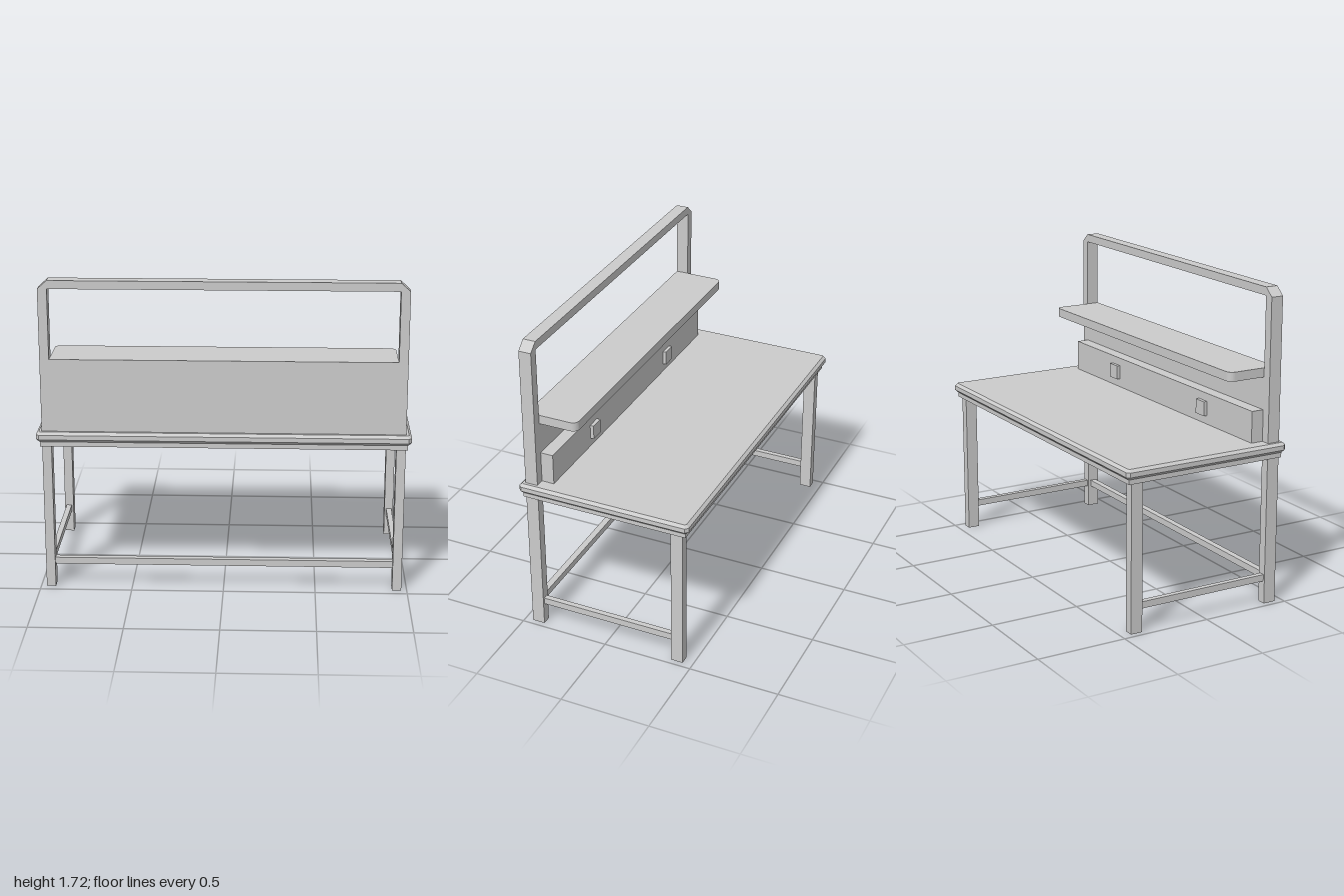
import * as THREE from 'three';

const mat = new THREE.MeshStandardMaterial({ color: 0xcccccc, flatShading: true });

export function createModel() {
  const group = new THREE.Group();

  const add = (name, geometry) => {
    const mesh = new THREE.Mesh(geometry, mat);
    mesh.name = name;
    group.add(mesh);
    return mesh;
  };

  // Box given by its extents on each axis
  const box = (name, [x0, x1], [y0, y1], [z0, z1]) => {
    const mesh = add(name, new THREE.BoxGeometry(x1 - x0, y1 - y0, z1 - z0));
    mesh.position.set((x0 + x1) / 2, (y0 + y1) / 2, (z0 + z1) / 2);
    return mesh;
  };
  const polygon = (points) => new THREE.Shape(points.map(([x, y]) => new THREE.Vector2(x, y)));

  // Table top: chamfered slab with clipped corners
  const bevel = 0.015, X = 0.985, Z = 0.47, c = 0.008;
  const topShape = polygon([
    [-X + c, -Z], [X - c, -Z], [X, -Z + c], [X, Z - c],
    [X - c, Z], [-X + c, Z], [-X, Z - c], [-X, -Z + c],
  ]);
  const top = new THREE.ExtrudeGeometry(topShape, {
    depth: 0.025, bevelEnabled: true, bevelSegments: 1, bevelSize: bevel, bevelThickness: bevel,
  });
  top.rotateX(-Math.PI / 2);
  add('tableTop', top).position.y = 0.853;

  // Slab under the top
  box('underSlab', [-0.98, 0.98], [0.81, 0.839], [-0.465, 0.465]);

  // Upright frame with solid lower panel, open window and clipped top corners
  const frame = polygon([
    [-0.97, 0.89], [0.97, 0.89], [0.97, 1.67], [0.92, 1.715], [-0.92, 1.715], [-0.97, 1.67],
  ]);
  frame.holes.push(polygon([[-0.92, 1.29], [-0.92, 1.67], [0.92, 1.67], [0.92, 1.29]]));
  add('backFrame', new THREE.ExtrudeGeometry(frame, { depth: 0.07, bevelEnabled: false }))
    .position.z = 0.385;

  // Shelf with rounded outer corners
  const r = 0.035, edge = 0.17, back = 0.385, half = 0.92;
  const shelf = new THREE.Shape();
  shelf.moveTo(-half, back);
  shelf.lineTo(-half, edge + r);
  shelf.absarc(-half + r, edge + r, r, Math.PI, Math.PI * 1.5, false);
  shelf.absarc(half - r, edge + r, r, Math.PI * 1.5, Math.PI * 2, false);
  shelf.lineTo(half, back);
  const shelfGeometry = new THREE.ExtrudeGeometry(shelf, { depth: 0.05, bevelEnabled: false, curveSegments: 8 });
  shelfGeometry.rotateX(Math.PI / 2);
  add('shelf', shelfGeometry).position.y = 1.29;

  // Service duct with two socket plates
  box('serviceDuct', [-0.92, 0.92], [0.89, 1.065], [0.315, 0.385]);

  for (const s of [-1, 1]) {
    const side = s < 0 ? 'right' : 'left';
    const span = (a, b) => (s < 0 ? [-b, -a] : [a, b]);
    box(side + 'Socket', span(0.42, 0.5), [0.94, 1.02], [0.295, 0.315]);
    // Legs and the rail joining them
    box(side + 'FrontLeg', span(0.92, 0.97), [0, 0.81], [0.385, 0.455]);
    box(side + 'RearLeg', span(0.92, 0.97), [0, 0.81], [-0.445, -0.378]);
    box(side + 'SideRail', span(0.93, 0.96), [0.125, 0.162], [-0.378, 0.385]);
  }

  // Long rail between the panel-side legs
  box('longRail', [-0.92, 0.92], [0.125, 0.162], [0.402, 0.438]);

  return group;
}
